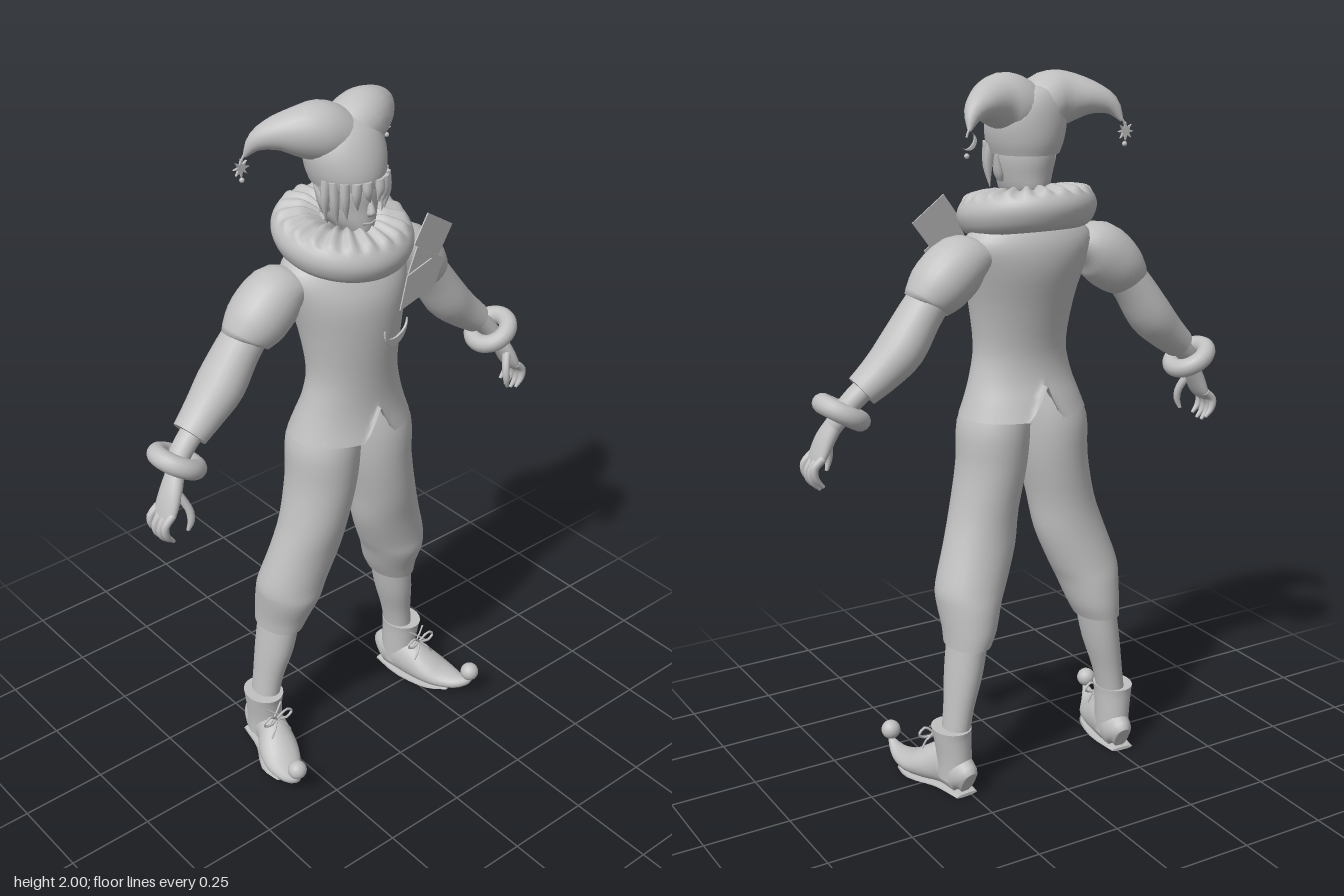
import * as THREE from 'three';
import { mergeVertices } from 'three/addons/utils/BufferGeometryUtils.js';

const V = (x, y, z) => new THREE.Vector3(x, y, z);
const UP = V(0, 1, 0), FRONT = V(0, 0, 1);

// Skin elliptical rings [x, y, z, radiusA, radiusB] along a path, with capped ends.
// axis fixes the ring plane; otherwise rings stand square to the path.
function loft(rows, { n = 24, sub = 3, axis = null, ref = FRONT, rule = null, caps = true } = {}) {
  const path = new THREE.CatmullRomCurve3(rows.map(r => V(r[0], r[1], r[2])), false, 'catmullrom');
  const radii = new THREE.CatmullRomCurve3(rows.map(r => V(r[3], r[4], 0)), false, 'catmullrom');
  const m = (rows.length - 1) * sub, pos = [], idx = [];
  const add = p => { if (rule) rule(p); pos.push(p.x, p.y, p.z); };
  const ring = i => {
    const t = i / m, c = path.getPoint(t), r = radii.getPoint(t);
    const T = axis || path.getTangent(t);
    const u = ref.clone().addScaledVector(T, -ref.dot(T)).normalize();
    const v = T.clone().cross(u);
    for (let j = 0; j < n; j++) {
      const a = j / n * Math.PI * 2;
      add(c.clone().addScaledVector(v, Math.cos(a) * Math.max(r.x, 0.001)).addScaledVector(u, Math.sin(a) * Math.max(r.y, 0.001)));
    }
    return c;
  };
  for (let i = 0; i <= m; i++) ring(i);
  for (let i = 0; i < m; i++) for (let j = 0; j < n; j++) {
    const a = i * n + j, b = i * n + (j + 1) % n;
    idx.push(a, a + n, b, b, a + n, b + n);
  }
  if (caps) for (const end of [0, m]) {
    const s = pos.length / 3;
    add(ring(end));
    for (let j = 0; j < n; j++) {
      const a = s + j, b = s + (j + 1) % n;
      end ? idx.push(s + n, b, a) : idx.push(s + n, a, b);
    }
  }
  const g = new THREE.BufferGeometry();
  g.setAttribute('position', new THREE.Float32BufferAttribute(pos, 3));
  g.setIndex(idx);
  g.computeVertexNormals();
  return g;
}

const cord = (pts, r) => new THREE.TubeGeometry(new THREE.CatmullRomCurve3(pts.map(p => V(...p))), 12, r, 6);

function plate(points, depth = 0.006) {
  const shape = new THREE.Shape(points.map(p => new THREE.Vector2(p[0], p[1])));
  return new THREE.ExtrudeGeometry(shape, { depth, bevelEnabled: false });
}

// Crescent outline opening toward +y
function crescent(r) {
  const pts = [], k = 16;
  for (let i = 0; i <= k; i++) { const a = Math.PI * (0.95 + 1.1 * i / k); pts.push([r * Math.cos(a), r * Math.sin(a)]); }
  for (let i = k - 1; i > 0; i--) {
    const a = Math.PI * (0.95 + 1.1 * i / k);
    pts.push([r * Math.cos(a), r * Math.sin(a) + 0.42 * r * Math.sin(Math.PI * i / k)]);
  }
  return pts;
}

export function createModel() {
  const root = new THREE.Group();
  const grey = new THREE.MeshStandardMaterial({ color: 0xc0c0c0, side: THREE.DoubleSide });
  grey.name = 'plain grey';
  const put = (name, geo, x = 0, y = 0, z = 0) => {
    const mesh = new THREE.Mesh(geo, grey);
    mesh.name = name;
    mesh.position.set(x, y, z);
    root.add(mesh);
    return mesh;
  };

  // Fitted jacket, its flared hem notched at front and back
  put('jacket', loft([
    [0, 1.07, 0.005, 0.188, 0.138], [0, 1.12, 0.008, 0.17, 0.122], [0, 1.18, 0.015, 0.15, 0.108],
    [0, 1.26, 0.018, 0.136, 0.106], [0, 1.38, 0.01, 0.152, 0.122], [0, 1.48, -0.005, 0.178, 0.133],
    [0, 1.55, -0.022, 0.192, 0.117], [0, 1.6, -0.03, 0.15, 0.088], [0, 1.64, -0.03, 0.07, 0.06]],
  { n: 64, axis: UP, caps: false, rule: p => { p.y = Math.max(p.y, 1.165 - 2 * Math.abs(p.x)); } }));

  // Head and neck
  put('head', loft([
    [0, 1.58, -0.03, 0.045, 0.045], [0, 1.635, -0.02, 0.043, 0.052], [0, 1.655, 0.01, 0.036, 0.072],
    [0, 1.69, 0, 0.058, 0.09], [0, 1.73, -0.003, 0.07, 0.094], [0, 1.78, -0.005, 0.078, 0.1],
    [0, 1.84, -0.01, 0.07, 0.09]], { axis: UP }));
  put('nose', loft([[0, 1.76, 0.083, 0.006, 0.008], [0, 1.73, 0.092, 0.01, 0.014], [0, 1.718, 0.092, 0.012, 0.014], [0, 1.708, 0.086, 0.006, 0.006]], { n: 8, axis: V(0, -1, 0) }));
  put('mouth', cord([[-0.02, 1.692, 0.084], [0, 1.69, 0.089], [0.02, 1.692, 0.084]], 0.004));

  // Ruffled collar, drooping toward the front
  const profile = [[0.06, -0.03], [0.12, -0.062], [0.165, -0.055], [0.186, -0.02], [0.185, 0.012], [0.165, 0.04], [0.13, 0.05], [0.1, 0.052], [0.06, 0.035]];
  let ruff = new THREE.LatheGeometry(new THREE.SplineCurve(profile.map(p => new THREE.Vector2(...p))).getPoints(28), 120);
  ruff.deleteAttribute('uv');
  ruff.deleteAttribute('normal');
  const rp = ruff.attributes.position;
  for (let i = 0; i < rp.count; i++) {
    const x = rp.getX(i), y = rp.getY(i), z = rp.getZ(i);
    const fold = y > 0.03 ? 0.007 * Math.sin(20 * Math.atan2(x, z)) : 0;
    rp.setY(i, y + fold - 0.16 * z);
  }
  ruff = mergeVertices(ruff, 1e-5);
  ruff.computeVertexNormals();
  put('collar', ruff, 0, 1.638, -0.02);

  // Hat crown
  put('hatCrown', loft([
    [0, 1.785, -0.005, 0.092, 0.104], [0, 1.82, -0.008, 0.104, 0.11], [0, 1.87, -0.015, 0.11, 0.105],
    [0, 1.92, -0.025, 0.095, 0.088], [0, 1.955, -0.035, 0.055, 0.055], [0, 1.967, -0.038, 0.004, 0.004]], { n: 32, axis: UP }));

  for (const s of [-1, 1]) {
    const limb = (name, rows, opt) => put(name, loft(rows.map(r => [s * r[0], ...r.slice(1)]), opt));
    const rope = (name, pts, r) => put(name, cord(pts.map(p => [s * p[0], p[1], p[2]]), r));

    // Curled hat horn
    limb('hatHorn', [
      [0.0, 1.885, -0.025, 0.07, 0.08], [0.06, 1.918, -0.03, 0.077, 0.08], [0.11, 1.926, -0.045, 0.068, 0.066],
      [0.165, 1.924, -0.078, 0.044, 0.046], [0.208, 1.905, -0.105, 0.026, 0.026], [0.232, 1.865, -0.125, 0.005, 0.005]]);

    // Pointed ear and hanging hair locks
    limb('ear', [[0.07, 1.715, 0.0, 0.008, 0.014], [0.08, 1.74, -0.005, 0.009, 0.02], [0.092, 1.785, -0.022, 0.002, 0.003]], { n: 8 });
    for (const [x, y, z, tx, ty, tz] of [[0.02, 1.81, 0.1, 0.012, 1.755, 0.104], [0.045, 1.81, 0.09, 0.04, 1.735, 0.088],
      [0.068, 1.81, 0.07, 0.062, 1.71, 0.072], [0.083, 1.81, 0.045, 0.074, 1.69, 0.048], [0.088, 1.81, 0.02, 0.09, 1.7, 0.02]])
      limb('hairLock', [[x, y, z, 0.014, 0.012], [(x + tx) / 2 + 0.004, (y + ty) / 2, (z + tz) / 2 + 0.003, 0.013, 0.01], [tx, ty, tz, 0.001, 0.001]], { n: 8 });

    // Puffed upper sleeve, lower sleeve, cuff
    limb('puffSleeve', [
      [0.15, 1.53, -0.03, 0.04, 0.06], [0.21, 1.512, -0.035, 0.078, 0.082], [0.272, 1.462, -0.035, 0.082, 0.086],
      [0.312, 1.425, -0.036, 0.067, 0.072], [0.32, 1.415, -0.036, 0.055, 0.058]]);
    limb('lowerSleeve', [
      [0.28, 1.46, -0.036, 0.055, 0.06], [0.34, 1.385, -0.04, 0.058, 0.064], [0.395, 1.305, -0.041, 0.063, 0.07],
      [0.45, 1.25, -0.037, 0.055, 0.06], [0.507, 1.203, -0.03, 0.045, 0.052]]);
    limb('wrist', [[0.48, 1.225, -0.03, 0.03, 0.034], [0.545, 1.165, -0.02, 0.028, 0.032], [0.58, 1.11, -0.004, 0.023, 0.029]]);
    const cuff = put('cuff', new THREE.TorusGeometry(0.055, 0.027, 14, 32), s * 0.56, 1.15, -0.015);
    cuff.quaternion.setFromUnitVectors(FRONT, V(s * 0.5, -0.866, 0));

    // Hand with curled fingers
    limb('palm', [[0.57, 1.13, -0.008, 0.022, 0.027], [0.598, 1.08, 0.005, 0.023, 0.038], [0.62, 1.035, 0.01, 0.018, 0.042], [0.635, 1.012, 0.01, 0.009, 0.036]]);
    [-0.024, -0.002, 0.02, 0.042].forEach((z, k) => {
      const d = [0.012, 0, 0, 0.01][k];
      limb('finger', [[0.62, 1.035, z, 0.011, 0.011], [0.645, 1.0 + d, z, 0.0115, 0.011], [0.643, 0.97 + d, z, 0.01, 0.01], [0.622, 0.945 + d, z, 0.005, 0.005]], { n: 10 });
    });
    limb('thumb', [[0.592, 1.085, 0.025, 0.012, 0.014], [0.573, 1.04, 0.045, 0.011, 0.012], [0.571, 1.005, 0.052, 0.01, 0.01], [0.58, 0.975, 0.048, 0.005, 0.005]], { n: 10 });

    // Breeches gathered below the knee, then the stocking
    limb('breeches', [
      [0.07, 1.16, 0.008, 0.07, 0.085], [0.092, 1.05, 0.005, 0.098, 0.113], [0.1, 0.93, 0.005, 0.097, 0.11],
      [0.126, 0.8, 0.003, 0.097, 0.1], [0.15, 0.7, -0.01, 0.105, 0.094], [0.185, 0.6, -0.025, 0.102, 0.097],
      [0.197, 0.55, -0.032, 0.09, 0.102], [0.206, 0.48, -0.05, 0.074, 0.092], [0.216, 0.435, -0.056, 0.062, 0.084]], { n: 32, axis: V(0, -1, 0) });
    limb('stocking', [[0.214, 0.46, -0.055, 0.055, 0.072], [0.232, 0.35, -0.06, 0.051, 0.067], [0.252, 0.25, -0.067, 0.041, 0.053], [0.268, 0.15, -0.07, 0.037, 0.047]], { axis: V(0, -1, 0) });

    // Ankle boot with a curled toe and ball
    limb('bootShaft', [[0.275, 0.192, -0.064, 0.055, 0.066], [0.274, 0.165, -0.066, 0.052, 0.062], [0.27, 0.1, -0.07, 0.047, 0.06], [0.27, 0.04, -0.07, 0.046, 0.06]], { axis: V(0, -1, 0) });
    limb('bootFoot', [
      [0.262, 0.04, -0.137, 0.022, 0.04], [0.265, 0.055, -0.11, 0.042, 0.058], [0.274, 0.062, -0.03, 0.046, 0.064],
      [0.297, 0.045, 0.03, 0.058, 0.048], [0.318, 0.03, 0.085, 0.053, 0.031], [0.334, 0.03, 0.14, 0.032, 0.021],
      [0.342, 0.052, 0.178, 0.013, 0.013], [0.343, 0.075, 0.19, 0.005, 0.005]], { ref: UP, rule: p => { p.y = Math.max(p.y, 0.002); } });
    put('bootSole', loft([[s * 0.266, 0.005, -0.135, 0.035, 0.005], [s * 0.275, 0.005, -0.03, 0.05, 0.005], [s * 0.31, 0.005, 0.06, 0.06, 0.005], [s * 0.33, 0.006, 0.12, 0.035, 0.005]], { ref: UP, n: 12 }));
    put('toeBall', new THREE.SphereGeometry(0.028, 20, 14), s * 0.344, 0.09, 0.184);

    // Boot lace bow
    for (const k of [-1, 1]) {
      rope('laceLoop', [[0.285, 0.135, 0.012], [0.285 + k * 0.03, 0.16, 0.02], [0.285 + k * 0.052, 0.142, 0.018], [0.285 + k * 0.03, 0.13, 0.02], [0.285, 0.135, 0.012]], 0.004);
      rope('laceEnd', [[0.285, 0.135, 0.012], [0.285 + k * 0.02, 0.115, 0.03], [0.285 + k * 0.035, 0.09, 0.032]], 0.003);
      rope('laceCross', [[0.285 - k * 0.028, 0.175, -0.004], [0.285, 0.152, 0.008], [0.285 + k * 0.028, 0.125, 0.012]], 0.003);
    }

    // Cord and drop under each horn tip
    rope('charmCord', [[0.232, 1.87, -0.125], [0.238, 1.86, -0.126], [0.241, 1.85, -0.126]], 0.003);
    put('charmDrop', new THREE.SphereGeometry(0.007, 10, 8), s * 0.241, 1.803, -0.126);
  }

  // Star charm on the right horn, moon charm on the left
  const star = [];
  for (let i = 0; i < 16; i++) { const r = i % 2 ? 0.011 : 0.025, a = i * Math.PI / 8; star.push([r * Math.cos(a), r * Math.sin(a)]); }
  put('starCharm', plate(star), -0.243, 1.836, -0.129);
  put('moonCharm', plate(crescent(0.023)), 0.236, 1.84, -0.129).rotation.z = -0.9;

  // Chest crescent and fanned cards
  put('chestCrescent', plate(crescent(0.052)), 0.053, 1.392, 0.132).rotation.y = 0.25;
  [[[0.185, 1.672], [0.13, 1.6], [0.23, 1.53], [0.29, 1.605]],
    [[0.135, 1.595], [0.1, 1.53], [0.215, 1.455], [0.248, 1.525]],
    [[0.09, 1.53], [0.062, 1.44], [0.205, 1.458], [0.19, 1.545]]].forEach((c, i) => {
    const g = plate(c, 0.004), p = g.attributes.position;
    for (let k = 0; k < p.count; k++) p.setZ(k, p.getZ(k) + 0.135 - 0.17 * p.getX(k) + i * 0.007);
    g.computeVertexNormals();
    put('card', g);
  });

  return root;
}
